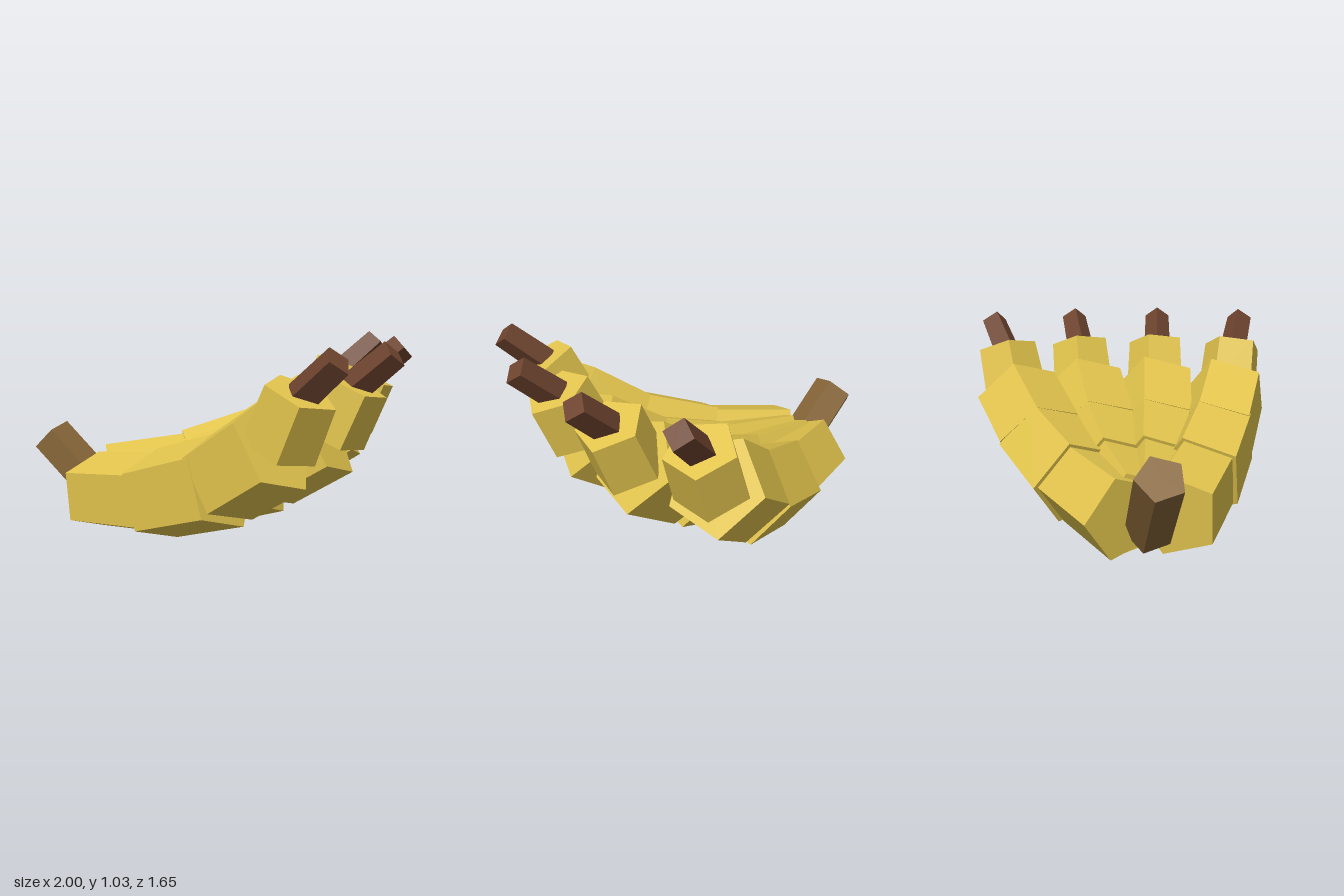
import * as THREE from 'three';

const flat = (name, color) => {
  const m = new THREE.MeshStandardMaterial({ color, flatShading: true });
  m.name = name;
  return m;
};

// Prism running from point a to point b in the xy plane
function prism(name, a, b, r0, r1, sides, material) {
  const dx = b[0] - a[0], dy = b[1] - a[1];
  const geometry = new THREE.CylinderGeometry(r1, r0, Math.hypot(dx, dy), sides);
  geometry.rotateY(Math.PI); // corner towards -z, flat side towards +z
  const mesh = new THREE.Mesh(geometry, material);
  mesh.name = name;
  mesh.position.set((a[0] + b[0]) / 2, (a[1] + b[1]) / 2, 0);
  mesh.rotation.z = Math.atan2(dy, dx) - Math.PI / 2;
  return mesh;
}

export function createModel() {
  const peel = flat('yellow peel', 0xe2c44d);
  const wood = flat('brown stem', 0x876638);
  const dark = flat('dark tip', 0x6e442f);

  // One fruit: overlapping five-sided sections curving upwards, and a square tip
  const sections = [
    ['lowerSection', [0, 0.2], [0.48, 0.253], 0.213, 0.217],
    ['middleSection', [0.48, 0.252], [0.907, 0.386], 0.241, 0.241],
    ['upperSection', [0.907, 0.4], [1.203, 0.591], 0.236, 0.238],
    ['neck', [1.227, 0.585], [1.338, 0.834], 0.178, 0.166],
  ];
  function fruit() {
    const g = new THREE.Group();
    for (const [name, a, b, r0, r1] of sections) g.add(prism(name, a, b, r0, r1, 5, peel));
    g.add(prism('tip', [1.33, 0.81], [1.523, 0.98], 0.078, 0.071, 4, dark));
    return g;
  }

  const model = new THREE.Group();
  model.name = 'fruitBunch';

  // Four fruits fanned out evenly, mirrored about z = 0
  for (const side of [-1, 1]) {
    for (const [name, x, z, yaw] of [['outerFruit', -0.622, 0.117, 0.42], ['innerFruit', -0.558, 0.046, 0.14]]) {
      const f = fruit();
      f.name = name + (side > 0 ? 'Front' : 'Back');
      f.position.set(x, 0, side * z);
      f.rotation.y = -side * yaw;
      model.add(f);
    }
  }

  // Shared stem leaning back
  model.add(prism('stem', [-0.56, 0.108], [-0.92, 0.468], 0.117, 0.117, 5, wood));
  return model;
}
